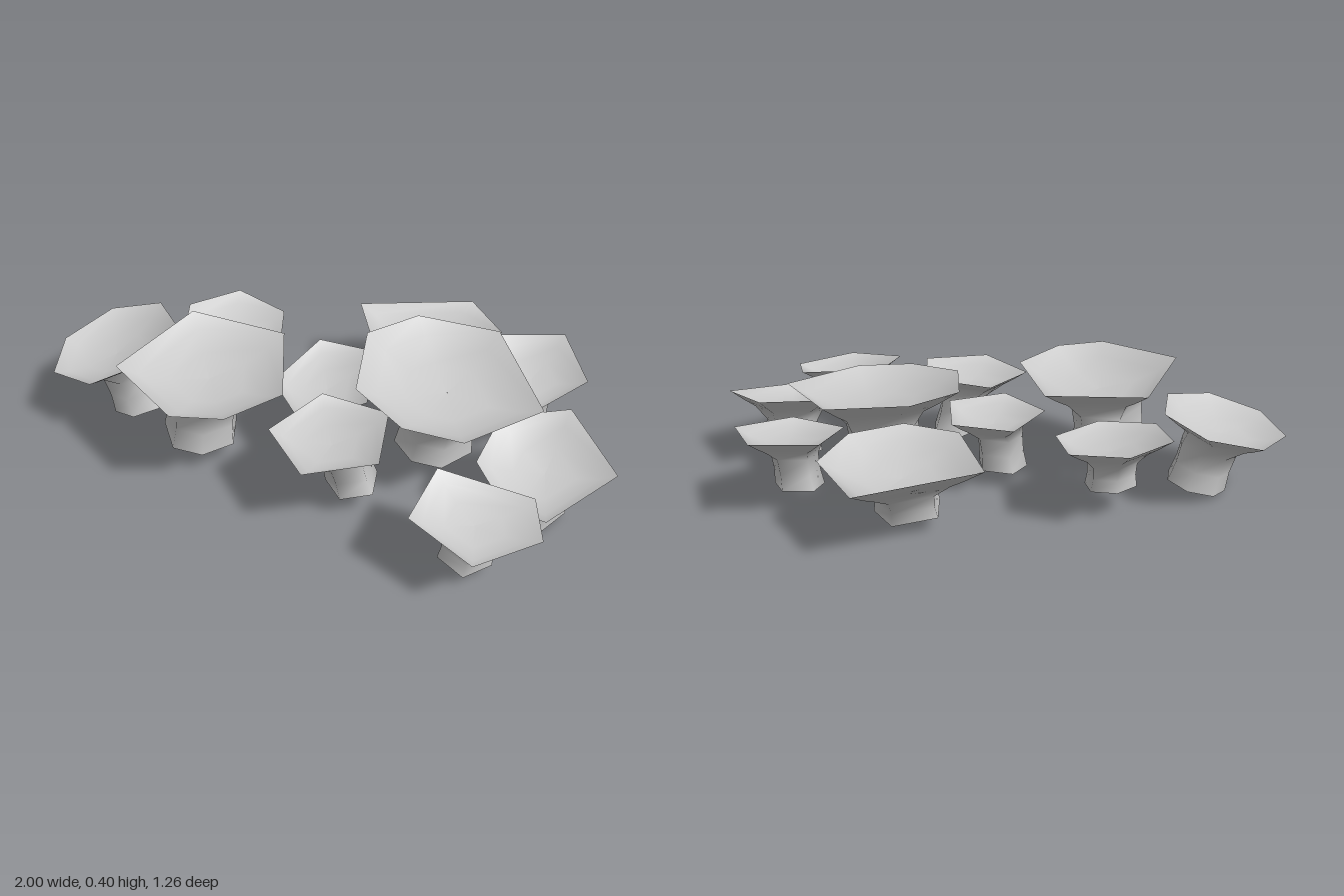
import * as THREE from 'three';

const material = new THREE.MeshStandardMaterial({ color: 0xcccccc, side: THREE.DoubleSide });

// Angles in degrees of evenly spread rim corners
const even = (sides, turn) => Array.from({ length: sides }, (_, i) => turn + (360 * i) / sides);

// at: cap centre, radii: cap reach in x and z, slope: cap rise per unit of x and z,
// corners: angles of the rim corners, foot: bottom of the stem
const mushrooms = [
  { at: [-0.785, 0.28, 0.13], radii: [0.215, 0.25], slope: [0.21, -0.07], corners: even(7, 180), foot: [-0.71, 0.035, 0.12] },
  { at: [-0.35, 0.385, 0.235], radii: [0.3, 0.3], slope: [-0.04, 0], corners: [10, 53, 86, 150, 232, 302], foot: [-0.395, 0.085, 0.24] },
  { at: [-0.435, 0.285, -0.11], radii: [0.2, 0.2], slope: [-0.1, -0.1], corners: even(6, 10), foot: [-0.43, 0.1, -0.08] },
  { at: [0.2, 0.285, -0.41], radii: [0.27, 0.24], slope: [0, 0.1], corners: [36, 78, 121, 184, 292, 350], foot: [0.21, 0.065, -0.31] },
  { at: [0.625, 0.29, -0.275], radii: [0.19, 0.2], slope: [0, -0.18], corners: even(5, 73), foot: [0.61, 0.08, -0.25] },
  { at: [0.4, 0.37, -0.02], radii: [0.33, 0.29], slope: [-0.08, -0.1], corners: [5, 65, 100, 140, 196, 235, 286], foot: [0.36, 0.075, -0.04] },
  { at: [-0.005, 0.28, 0.04], radii: [0.18, 0.225], slope: [0.03, -0.1], corners: even(5, 18), foot: [-0.03, 0.06, 0.07] },
  { at: [0.135, 0.31, 0.335], radii: [0.205, 0.2], slope: [0.04, -0.06], corners: even(5, 23), foot: [0.19, 0.09, 0.29] },
  { at: [0.78, 0.25, 0.13], radii: [0.22, 0.22], slope: [-0.03, -0.24], corners: [-5, 75, 110, 160, 212, 275], foot: [0.76, 0.03, 0.11] },
  { at: [0.645, 0.255, 0.45], radii: [0.21, 0.185], slope: [-0.1, -0.12], corners: [3, 77, 148, 220, 314], foot: [0.62, 0.06, 0.43] },
];

// Skin a list of rings that all have the same number of points
function skin(rings) {
  const n = rings[0].length;
  const index = [];
  for (let k = 0; k < rings.length - 1; k++) {
    for (let j = 0; j < n; j++) {
      const a = k * n + j, b = k * n + (j + 1) % n;
      index.push(a, b, b + n, a, b + n, a + n);
    }
  }
  const geometry = new THREE.BufferGeometry().setFromPoints(rings.flat());
  geometry.setIndex(index);
  geometry.computeVertexNormals();
  return geometry;
}

function makeMushroom({ at, radii, slope, corners, foot }) {
  const center = new THREE.Vector3(...at);
  const base = new THREE.Vector3(...foot);
  const size = (radii[0] + radii[1]) / 2;
  const depth = 0.22 * size;
  const stemRadius = 0.43 * size;

  // Directions from the cap centre to the rim corners, on the tilted cap plane
  const spokes = corners.map((angle) => {
    const t = THREE.MathUtils.degToRad(angle);
    const x = radii[0] * Math.cos(t), z = radii[1] * Math.sin(t);
    return new THREE.Vector3(x, slope[0] * x + slope[1] * z, z);
  });
  const neck = center.clone().lerp(base, 0.55);
  neck.y = center.y - 2.1 * depth;
  const waist = neck.clone().lerp(base, 0.5);
  const hollow = base.clone().add(new THREE.Vector3(0, 0.03, 0));

  // Cap ring: the rim outline scaled inwards and lowered
  const capRing = (scale, drop) => spokes.map((s) =>
    center.clone().addScaledVector(s, scale).add(new THREE.Vector3(0, -drop * depth, 0)));
  // Stem ring: round, leaning with the cap, corners pulled towards an even spread
  const stemRing = (middle, radius) => spokes.map((s, i) => {
    const t = THREE.MathUtils.degToRad((corners[i] + corners[0] + (360 * i) / corners.length) / 2);
    const x = radius * Math.cos(t), z = radius * Math.sin(t);
    return new THREE.Vector3(x, slope[0] * x + slope[1] * z, z).add(middle);
  });

  const group = new THREE.Group();
  group.name = 'mushroom';
  const add = (name, rings) => {
    const mesh = new THREE.Mesh(skin(rings), material);
    mesh.name = name;
    group.add(mesh);
  };
  // Hollow top of the cap with steep walls
  add('capDish', [capRing(0.001, 1.05), capRing(0.45, 0.98), capRing(0.78, 0.55), capRing(1, 0)]);
  // Thin flaring underside running down into the stem
  add('capUndersideAndStem', [capRing(1, 0), capRing(0.76, 0.72), capRing(0.58, 1.2), stemRing(neck, stemRadius),
    stemRing(waist, stemRadius * 0.97), stemRing(base, stemRadius * 1.05)]);
  // Slightly hollow foot
  add('stemFoot', [stemRing(base, stemRadius * 1.05), stemRing(hollow, 0.001)]);
  return group;
}

export function createModel() {
  const model = new THREE.Group();
  model.name = 'mushroomCluster';
  mushrooms.forEach((m) => model.add(makeMushroom(m)));
  return model;
}
